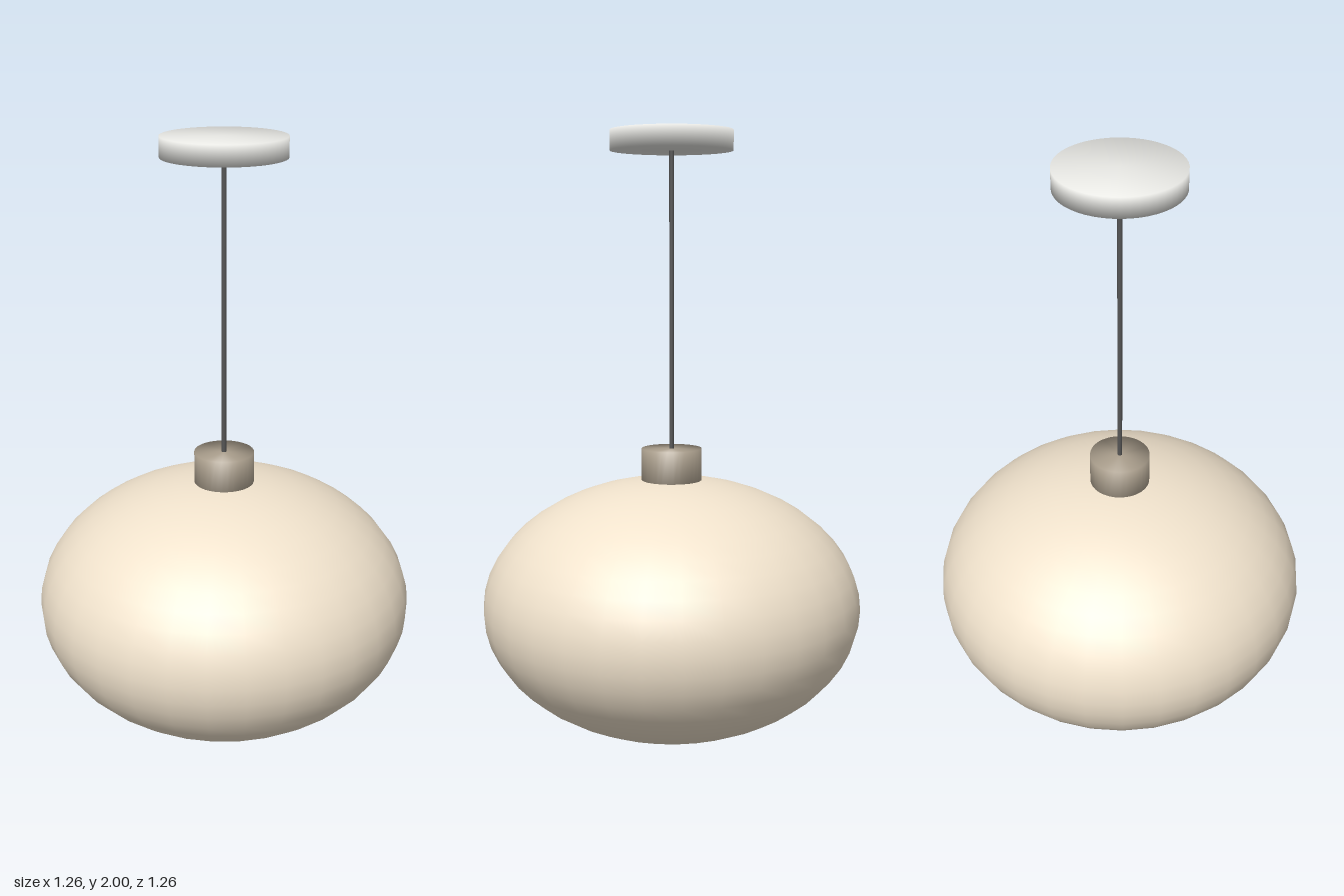
import * as THREE from 'three';
import { mergeVertices } from 'three/addons/utils/BufferGeometryUtils.js';

// Closed cylinder between two heights, with normals blended softly over the rims
function softCylinder(radius, bottom, top, segments) {
  let geometry = new THREE.CylinderGeometry(radius, radius, top - bottom, segments);
  geometry.deleteAttribute('normal');
  geometry.deleteAttribute('uv');
  geometry = mergeVertices(geometry);
  geometry.computeVertexNormals();
  geometry.translate(0, (top + bottom) / 2, 0);
  return geometry;
}

export function createModel() {
  const group = new THREE.Group();
  const add = (name, geometry, color) => {
    const mesh = new THREE.Mesh(geometry, new THREE.MeshStandardMaterial({ color }));
    mesh.name = name;
    group.add(mesh);
  };

  // Flattened globe shade
  const shade = new THREE.SphereGeometry(1, 32, 24);
  shade.scale(0.632, 0.4325, 0.632);
  shade.translate(0, 0.4325, 0);
  add('shade', shade, 0xf0e2cc);

  // Collar that holds the shade
  add('socketCollar', softCylinder(0.1, 0.84, 0.965, 32), 0xaca08e);

  // Thin hanging cord
  add('cord', softCylinder(0.008, 0.95, 1.95, 12), 0x555555);

  // Ceiling canopy
  add('ceilingCanopy', softCylinder(0.2, 1.935, 2, 48), 0xe8e8e4);

  return group;
}
